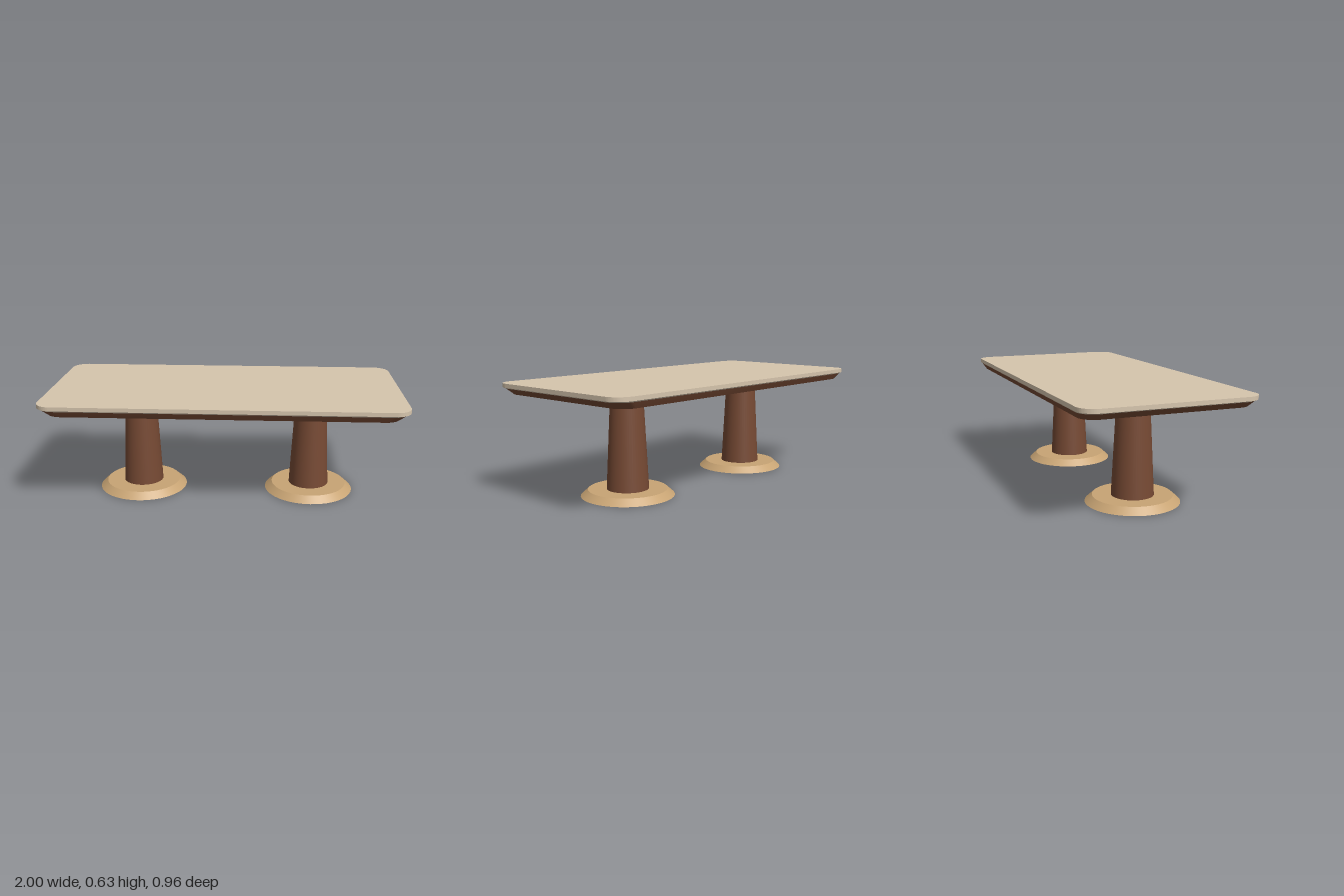
import * as THREE from 'three';
import { toCreasedNormals } from 'three/addons/utils/BufferGeometryUtils.js';

const stone = new THREE.MeshStandardMaterial({ color: 0xd6c5ad });
stone.name = 'pale top';
const wood = new THREE.MeshStandardMaterial({ color: 0x774a34 });
wood.name = 'brown wood';
const tan = new THREE.MeshStandardMaterial({ color: 0xc8a474 });
tan.name = 'tan trim';

function add(parent, name, geometry, material) {
  const mesh = new THREE.Mesh(geometry, material);
  mesh.name = name;
  parent.add(mesh);
  return mesh;
}

// Rounded rectangle outline of the table
function outline(x, z, r) {
  const s = new THREE.Shape();
  s.absarc(x - r, z - r, r, 0, Math.PI / 2);
  s.absarc(-x + r, z - r, r, Math.PI / 2, Math.PI);
  s.absarc(-x + r, -z + r, r, Math.PI, Math.PI * 1.5);
  s.absarc(x - r, -z + r, r, Math.PI * 1.5, Math.PI * 2);
  s.closePath();
  return s;
}

// Slab whose outline is scaled at each [height, scale] level, bottom to top
function slab(levels) {
  const steps = levels.length - 1;
  const g = new THREE.ExtrudeGeometry(outline(1, 0.48, 0.09), {
    depth: steps, steps, bevelEnabled: false, curveSegments: 12,
  });
  g.rotateX(-Math.PI / 2);
  const p = g.attributes.position;
  for (let i = 0; i < p.count; i++) {
    const [y, s] = levels[Math.round(p.getY(i))];
    p.setXYZ(i, p.getX(i) * s, y, p.getZ(i) * s);
  }
  return toCreasedNormals(g, 0.5);
}

export function createModel() {
  const table = new THREE.Group();
  table.name = 'table';

  // Top with a slightly eased lower edge, and the tapered underframe
  add(table, 'tabletop', slab([[0.599, 0.988], [0.605, 1], [0.627, 1]]), stone);
  add(table, 'underframe', slab([[0.565, 0.946], [0.599, 0.987]]), wood);

  // Two round pedestals
  for (const side of [-1, 1]) {
    const pedestal = new THREE.Group();
    pedestal.name = side > 0 ? 'leftPedestal' : 'rightPedestal';
    pedestal.position.x = side * 0.5;
    const base = add(pedestal, 'base', new THREE.CylinderGeometry(0.22, 0.26, 0.036, 48), tan);
    base.position.y = 0.018;
    const column = add(pedestal, 'column', new THREE.CylinderGeometry(0.09, 0.117, 0.519, 48), wood);
    column.position.y = 0.2955;
    const collar = add(pedestal, 'collar', new THREE.CylinderGeometry(0.14, 0.128, 0.011, 48), tan);
    collar.position.y = 0.5595;
    table.add(pedestal);
  }
  return table;
}
